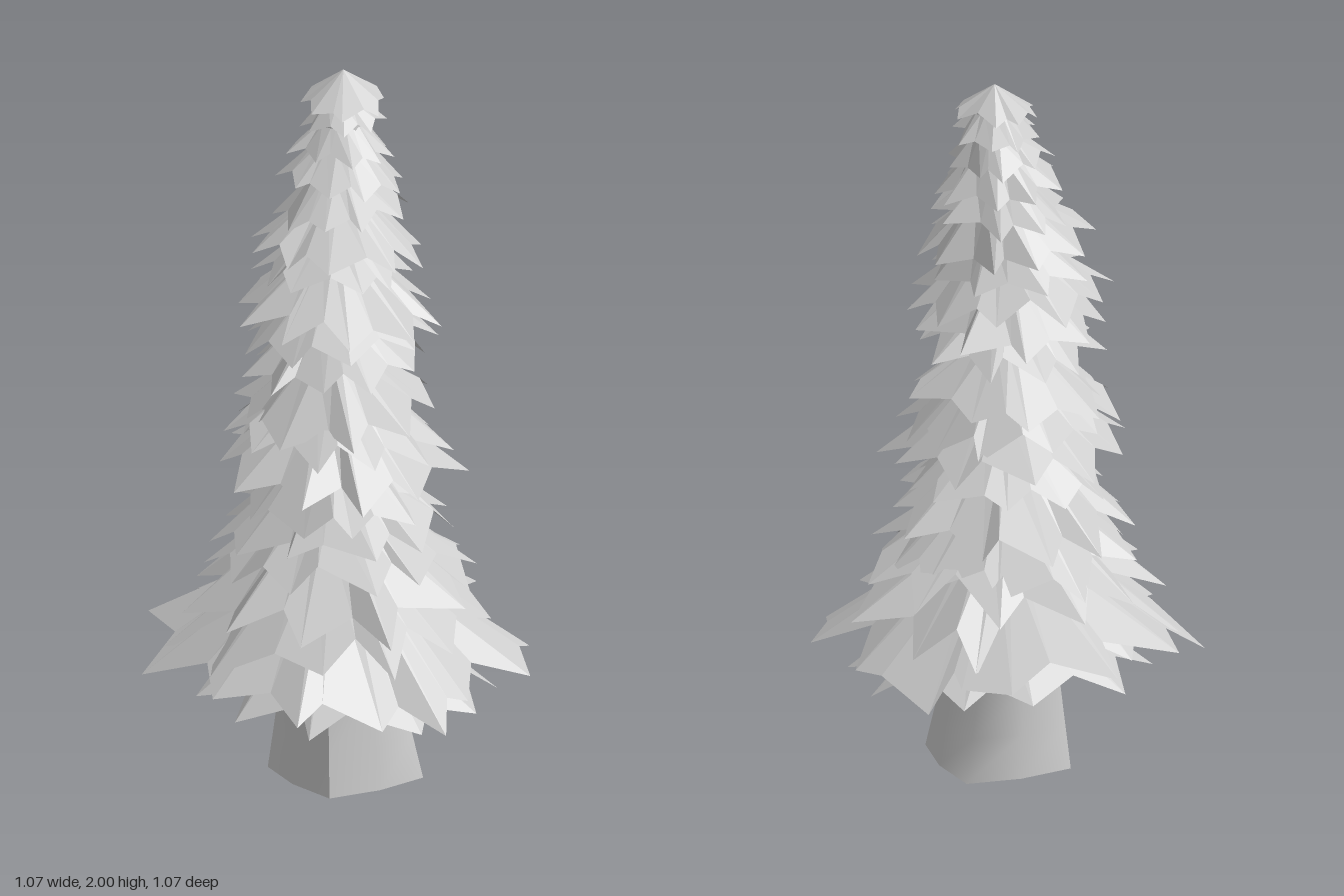
import * as THREE from 'three';

// small seeded generator for the ragged hems
function seeded(seed) {
  let s = seed;
  return () => {
    s = (s * 16807) % 2147483647;
    return s / 2147483647;
  };
}

const lerp = THREE.MathUtils.lerp;

// the stem leans a little forward at two thirds height, then back at the top
const lean = new THREE.CatmullRomCurve3([
  new THREE.Vector3(0.02, 0, -0.015), new THREE.Vector3(0, 0.5, 0),
  new THREE.Vector3(0, 1, 0.015), new THREE.Vector3(0, 1.4, 0.015),
  new THREE.Vector3(0, 1.7, -0.05), new THREE.Vector3(0, 2, -0.085),
]);
const axisAt = (y) => {
  // bisect for the height, since the control points are unevenly spaced
  let lo = 0, hi = 1;
  for (let i = 0; i < 20; i++) {
    const mid = (lo + hi) / 2;
    if (lean.getPoint(mid).y < y) lo = mid; else hi = mid;
  }
  return lean.getPoint(lo);
};

// trunk radius by height
const trunkProfile = [[0, 0.215], [0.25, 0.168], [0.6, 0.125], [1, 0.1], [1.5, 0.085], [1.8, 0.075], [1.95, 0.05]];
function trunkRadius(y) {
  for (let i = 1; i < trunkProfile.length; i++) {
    const [y0, r0] = trunkProfile[i - 1], [y1, r1] = trunkProfile[i];
    if (y <= y1) return lerp(r0, r1, (y - y0) / (y1 - y0));
  }
  return 0.05;
}

// skirt surface: straight panels from a ring at the trunk to a zigzag hem
function skirtGeometry(top, hem) {
  const n = hem.length, pos = [], index = [];
  const c = axisAt(top.y);
  hem.forEach((p) => {
    const a = Math.atan2(p.z - c.z, p.x - c.x);
    pos.push(c.x + Math.cos(a) * top.r, top.y, c.z + Math.sin(a) * top.r, p.x, p.y, p.z);
  });
  for (let i = 0; i < n; i++) {
    const a = i * 2, b = ((i + 1) % n) * 2;
    index.push(a, b, a + 1, b, b + 1, a + 1);
  }
  const g = new THREE.BufferGeometry();
  g.setAttribute('position', new THREE.Float32BufferAttribute(pos, 3));
  g.setIndex(index);
  g.computeVertexNormals();
  return g;
}

// ragged hem around the stem at height y, reaching out to radius r
function raggedHem(y, r, tips, rnd) {
  const hem = [], c = axisAt(y), turn = rnd() * 6.28, tilt = rnd() * 6.28;
  for (let i = 0; i < tips * 2; i++) {
    const tip = i % 2 === 0;
    const a = turn + ((i + (rnd() - 0.5) * 0.9) / (tips * 2)) * Math.PI * 2;
    const reach = r * (tip ? 0.86 + 0.18 * rnd() : 0.68 + 0.14 * rnd());
    const h = y + (tip ? 0 : 0.14 * r) + 0.08 * r * Math.cos(a - tilt) + (rnd() - 0.5) * 0.08 * r;
    hem.push({ x: c.x + Math.cos(a) * reach, y: h, z: c.z + Math.sin(a) * reach });
  }
  return hem;
}

// hem of the widest skirt: x, y, z of tips and notches in turn
const wideHem = [
  [0.535, 0.32, 0], [0.39, 0.38, 0.09], [0.41, 0.32, 0.23], [0.36, 0.34, 0.27],
  [0.38, 0.27, 0.38], [0.24, 0.33, 0.34], [0.21, 0.28, 0.41], [0.05, 0.36, 0.44],
  [0, 0.32, 0.535], [-0.1, 0.37, 0.41], [-0.26, 0.34, 0.41], [-0.3, 0.4, 0.29],
  [-0.5, 0.32, 0.2], [-0.43, 0.41, 0.09], [-0.535, 0.41, -0.06], [-0.36, 0.46, -0.18],
  [-0.45, 0.4, -0.28], [-0.27, 0.44, -0.33], [-0.21, 0.38, -0.45], [-0.07, 0.38, -0.47],
  [-0.03, 0.41, -0.43], [0, 0.32, -0.535], [0.18, 0.37, -0.44], [0.27, 0.36, -0.41],
  [0.3, 0.42, -0.23], [0.49, 0.33, -0.21], [0.48, 0.36, -0.12],
].map(([x, y, z]) => ({ x, y, z }));

// hem height, reach and number of tips of the other skirts
const tiers = [
  [0.25, 0.42, 10], [0.42, 0.46, 11], [0.53, 0.42, 11], [0.61, 0.37, 10], [0.71, 0.36, 11],
  [0.8, 0.31, 10], [0.89, 0.35, 10], [0.98, 0.32, 11], [1.05, 0.3, 9], [1.19, 0.27, 10],
  [1.27, 0.28, 9], [1.34, 0.3, 10], [1.44, 0.24, 9], [1.51, 0.26, 10], [1.61, 0.2, 9],
  [1.69, 0.19, 9], [1.77, 0.15, 9], [1.85, 0.13, 8],
];

export function createModel() {
  const tree = new THREE.Group();
  tree.name = 'firTree';
  const bark = new THREE.MeshStandardMaterial({ color: 0xcccccc, side: THREE.DoubleSide });
  const needles = new THREE.MeshStandardMaterial({
    color: 0xcccccc, flatShading: true, side: THREE.DoubleSide,
  });
  const add = (name, geometry, material) => {
    const mesh = new THREE.Mesh(geometry, material);
    mesh.name = name;
    tree.add(mesh);
  };

  // trunk: a tapering open column bent along the lean, with four root ridges at the foot
  const trunk = new THREE.CylinderGeometry(1, 1, 1.95, 8, 16, true);
  trunk.translate(0, 0.975, 0);
  const p = trunk.attributes.position;
  for (let i = 0; i < p.count; i++) {
    const y = p.getY(i), c = axisAt(y);
    const diagonal = Math.abs(p.getX(i) * p.getZ(i)) > 0.1;
    const r = trunkRadius(y) * (diagonal ? lerp(0.8, 1, Math.min(y / 0.6, 1)) : 1);
    p.setXYZ(i, c.x + p.getX(i) * r, y, c.z + p.getZ(i) * r);
  }
  trunk.computeVertexNormals();
  add('trunk', trunk, bark);

  // bough skirts, each rising from its hem to the trunk
  const rnd = seeded(4711);
  tiers.forEach(([y, r, tips], i) => {
    const topY = Math.min(y + (r - trunkRadius(y + 0.2)) * 0.75 + 0.01, 1.96);
    add(`boughSkirt${i + 1}`,
      skirtGeometry({ y: topY, r: trunkRadius(topY) * 0.95 }, raggedHem(y, r, tips, rnd)), needles);
  });
  add('widestBoughSkirt', skirtGeometry({ y: 0.64, r: 0.115 }, wideHem), needles);

  // pointed cap at the top
  add('treetop', skirtGeometry({ y: 2, r: 0.001 }, raggedHem(1.91, 0.13, 8, rnd)), needles);
  return tree;
}
